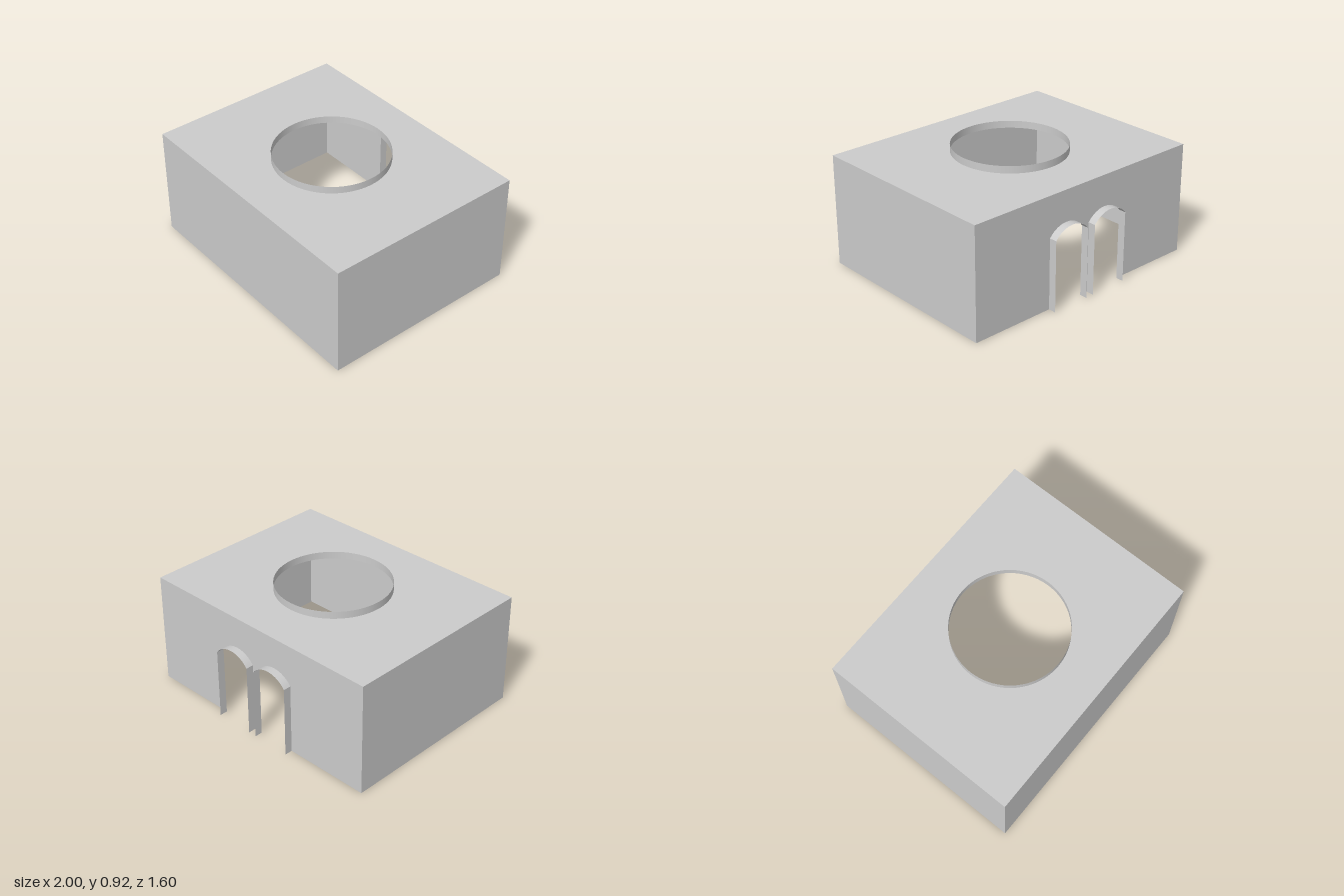
import * as THREE from 'three';
import { toCreasedNormals } from 'three/addons/utils/BufferGeometryUtils.js';

const W = 1, H = 0.86, BACK = -0.74, FRONT = 0.8;      // box shell
const RIM = { r: 0.43, z: 0.03, top: 0.915 };          // round opening
const ARCH = { x: 0.185, half: 0.152, spring: 0.545, crown: 0.62, out: -0.8 };

const material = new THREE.MeshStandardMaterial({ color: 0xcccccc, side: THREE.DoubleSide });

function add(group, name, geometry) {
  const mesh = new THREE.Mesh(geometry, material);
  mesh.name = name;
  group.add(mesh);
  return mesh;
}

// Outline of one doorway: up the jamb, over the segmental arch, down again
function archPoints(cx) {
  const rise = ARCH.crown - ARCH.spring;
  const r = (ARCH.half ** 2 + rise ** 2) / (2 * rise);
  const a = Math.asin(ARCH.half / r), n = 16;
  const points = [new THREE.Vector2(cx - ARCH.half, 0)];
  for (let i = 0; i <= n; i++) {
    const t = -a + (2 * a * i) / n;
    points.push(new THREE.Vector2(cx + r * Math.sin(t), ARCH.crown - r + r * Math.cos(t)));
  }
  points.push(new THREE.Vector2(cx + ARCH.half, 0));
  return points;
}

// Open strip that sweeps an outline in xy from z0 to z1
function ribbon(points, z0, z1) {
  const positions = [], index = [];
  points.forEach((p, i) => {
    positions.push(p.x, p.y, z0, p.x, p.y, z1);
    if (i) {
      const k = 2 * i;
      index.push(k - 2, k, k - 1, k - 1, k, k + 1);
    }
  });
  const geometry = new THREE.BufferGeometry();
  geometry.setAttribute('position', new THREE.Float32BufferAttribute(positions, 3));
  geometry.setIndex(index);
  return toCreasedNormals(geometry, 0.4);
}

export function createModel() {
  const model = new THREE.Group();
  model.name = 'openBox';
  const depth = FRONT - BACK, midZ = (FRONT + BACK) / 2;

  // Plain walls; the underside stays open
  add(model, 'frontWall', new THREE.PlaneGeometry(2 * W, H)).position.set(0, H / 2, FRONT);
  for (const [name, side] of [['leftWall', 1], ['rightWall', -1]]) {
    const wall = add(model, name, new THREE.PlaneGeometry(depth, H));
    wall.position.set(side * W, H / 2, midZ);
    wall.rotation.y = (side * Math.PI) / 2;
  }

  // Back wall with two doorways cut up from its lower edge
  const doorways = [archPoints(-ARCH.x), archPoints(ARCH.x)];
  const outline = [
    new THREE.Vector2(-W, 0), ...doorways[0], ...doorways[1],
    new THREE.Vector2(W, 0), new THREE.Vector2(W, H), new THREE.Vector2(-W, H),
  ];
  const back = new THREE.ShapeGeometry(new THREE.Shape(outline));
  back.scale(-1, 1, 1).rotateY(Math.PI); // mirror and turn: outward side faces the back
  // scale(-1) flips the winding, so restore it and the normals
  back.index.array.reverse();
  back.computeVertexNormals();
  add(model, 'backWall', back).position.z = BACK;

  // Thin doorway surrounds standing out from the back wall
  doorways.forEach((points, i) =>
    add(model, i ? 'leftDoorway' : 'rightDoorway', ribbon(points, BACK, ARCH.out)));

  // Roof with a round opening
  const roof = new THREE.Shape([
    new THREE.Vector2(-W, -FRONT), new THREE.Vector2(W, -FRONT),
    new THREE.Vector2(W, -BACK), new THREE.Vector2(-W, -BACK),
  ]);
  roof.holes.push(new THREE.Path().absarc(0, -RIM.z, RIM.r, 0, 2 * Math.PI, true));
  const roofGeometry = new THREE.ShapeGeometry(roof, 32).rotateX(-Math.PI / 2);
  add(model, 'roof', roofGeometry).position.y = H;

  // Thin collar around the opening
  const rim = new THREE.CylinderGeometry(RIM.r, RIM.r, RIM.top - H, 64, 1, true);
  add(model, 'roofCollar', rim).position.set(0, (RIM.top + H) / 2, RIM.z);

  return model;
}
